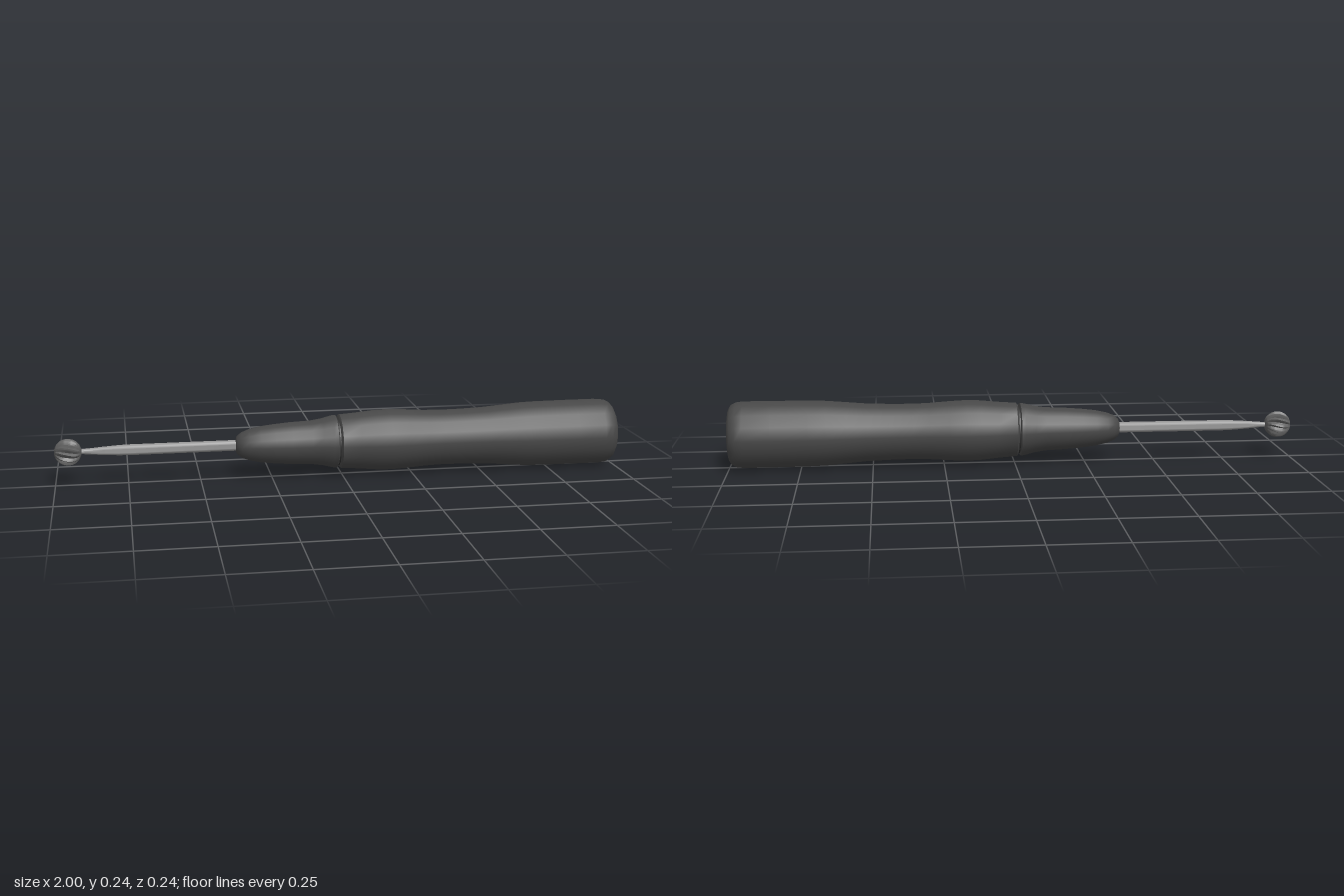
import * as THREE from 'three';
import { toCreasedNormals } from 'three/addons/utils/BufferGeometryUtils.js';

const AXIS_Y = 0.118;

// Revolves [x, radius] pairs around the long axis of the tool
function turned(name, profile, sides, color) {
  const points = profile.map(([x, r]) => new THREE.Vector2(r, x));
  const geometry = new THREE.LatheGeometry(points, sides).rotateZ(-Math.PI / 2);
  const mesh = new THREE.Mesh(
    toCreasedNormals(geometry, 0.8),
    new THREE.MeshStandardMaterial({ color })
  );
  mesh.name = name;
  mesh.position.y = AXIS_Y;
  return mesh;
}

// Ball cutter with slightly spiralled, saw-tooth flutes
function flutedBall(radius, flutes) {
  const steps = 6;
  const geometry = new THREE.SphereGeometry(radius, flutes * steps, 20);
  const p = geometry.attributes.position;
  const v = new THREE.Vector3();
  for (let i = 0; i < p.count; i++) {
    v.fromBufferAttribute(p, i);
    const around = Math.hypot(v.x, v.z);
    const step = (i % (flutes * steps + 1)) % steps;
    const depth = [1, 0.97, 0.9, 0.8, 0.76, 0.9][step];
    const k = 1 + (depth - 1) * (around / radius);
    const twist = (v.y / radius) * 0.25;
    v.set(v.x * k, v.y, v.z * k).applyAxisAngle(new THREE.Vector3(0, 1, 0), twist);
    p.setXYZ(i, v.x, v.y, v.z);
  }
  geometry.rotateZ(-Math.PI / 2);
  const mesh = new THREE.Mesh(
    toCreasedNormals(geometry, 0.6),
    new THREE.MeshStandardMaterial({ color: 0x606060 })
  );
  mesh.name = 'cutterBall';
  return mesh;
}

export function createModel() {
  const model = new THREE.Group();
  model.name = 'rotaryHandTool';

  // Contoured rear grip with a rounded end
  model.add(turned('grip', [
    [-0.012, 0], [-0.012, 0.088], [-0.006, 0.096], [0.06, 0.101], [0.12, 0.107],
    [0.17, 0.109], [0.23, 0.106], [0.3, 0.101], [0.36, 0.099], [0.44, 0.1],
    [0.52, 0.103], [0.59, 0.109], [0.66, 0.115], [0.72, 0.117], [0.85, 0.118],
    [0.945, 0.118], [0.97, 0.115], [0.988, 0.106], [0.997, 0.092], [1, 0.075], [1, 0]
  ], 16, 0x484848));

  // Recessed ring between grip and nose
  model.add(turned('seam', [
    [-0.022, 0], [-0.022, 0.086], [-0.008, 0.086], [-0.008, 0]
  ], 16, 0x303030));

  // Tapered nose
  model.add(turned('nose', [
    [-0.376, 0], [-0.376, 0.018], [-0.371, 0.032], [-0.355, 0.045], [-0.33, 0.055],
    [-0.29, 0.064], [-0.24, 0.07], [-0.18, 0.075], [-0.11, 0.078], [-0.07, 0.084],
    [-0.035, 0.093], [-0.021, 0.095], [-0.017, 0.088], [-0.017, 0]
  ], 16, 0x484848));

  // Steel shaft narrowing to the cutter
  model.add(turned('shaft', [
    [-0.94, 0], [-0.94, 0.007], [-0.9, 0.009], [-0.84, 0.014], [-0.78, 0.018],
    [-0.74, 0.019], [-0.36, 0.019], [-0.36, 0]
  ], 16, 0x999999));

  const ball = flutedBall(0.047, 12);
  ball.position.set(-0.953, AXIS_Y, 0);
  model.add(ball);

  return model;
}
